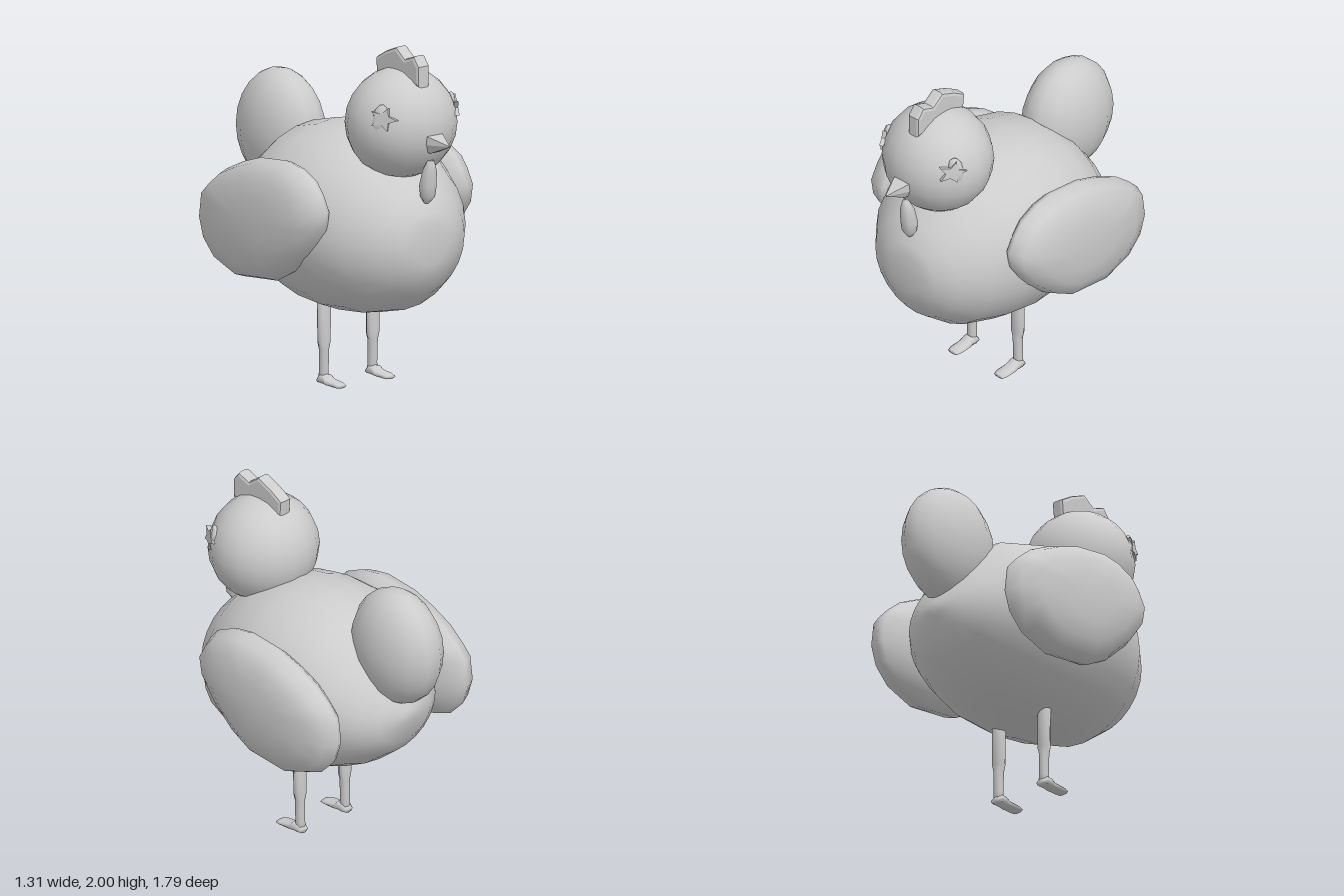
import * as THREE from 'three';

const plumage = new THREE.MeshStandardMaterial({ color: 0xcccccc });
plumage.name = 'pale grey';

const V = (x, y, z) => new THREE.Vector3(x, y, z);

// Closed skin over a list of rings (equal point counts), capped at both ends
function loft(rings) {
  const n = rings[0].length, pts = rings.flat(), idx = [];
  for (let r = 0; r < rings.length - 1; r++) {
    for (let i = 0; i < n; i++) {
      const a = r * n + i, b = r * n + (i + 1) % n;
      idx.push(a, b, a + n, b, b + n, a + n);
    }
  }
  const last = (rings.length - 1) * n;
  const centre = ring => ring.reduce((s, p) => s.add(p), V(0, 0, 0)).divideScalar(n);
  pts.push(centre(rings[0]), centre(rings[rings.length - 1]));
  for (let i = 0; i < n; i++) {
    const j = (i + 1) % n;
    idx.push(j, i, pts.length - 2, last + i, last + j, pts.length - 1);
  }
  // Turn the faces outward if the enclosed volume is negative
  let volume = 0;
  for (let k = 0; k < idx.length; k += 3) {
    volume += pts[idx[k]].dot(pts[idx[k + 1]].clone().cross(pts[idx[k + 2]]));
  }
  if (volume < 0) idx.reverse();
  const geo = new THREE.BufferGeometry().setFromPoints(pts);
  geo.setIndex(idx);
  geo.computeVertexNormals();
  return geo;
}

function ellipse(n, place) {
  return Array.from({ length: n }, (_, i) => {
    const a = (i / n) * Math.PI * 2;
    return place(Math.cos(a), Math.sin(a));
  });
}

function add(parent, name, geo) {
  const mesh = new THREE.Mesh(geo, plumage);
  mesh.name = name;
  parent.add(mesh);
  return mesh;
}

function ellipsoid(parent, name, centre, radii, w, h) {
  const geo = new THREE.SphereGeometry(1, w, h);
  geo.scale(...radii);
  const mesh = add(parent, name, geo);
  mesh.position.set(...centre);
  return mesh;
}

// Flat outline in z,y turned into a slab centred on x = 0
function slab(points, depth, bevel) {
  const shape = new THREE.Shape(points.map(([z, y]) => new THREE.Vector2(-z, y)));
  const geo = new THREE.ExtrudeGeometry(shape, {
    depth, bevelEnabled: true, bevelThickness: bevel, bevelSize: bevel,
    bevelOffset: -bevel, bevelSegments: 2,
  });
  geo.translate(0, 0, -depth / 2);
  geo.rotateY(Math.PI / 2);
  return geo;
}

export function createModel() {
  const bird = new THREE.Group();
  bird.name = 'bird';

  // Body: z, top, bottom, half width
  const body = [
    [0.735, 1.02, 0.79, 0.12], [0.715, 1.09, 0.71, 0.2], [0.65, 1.2, 0.6, 0.31],
    [0.5, 1.34, 0.49, 0.44], [0.3, 1.45, 0.44, 0.53], [0.1, 1.485, 0.42, 0.565],
    [-0.1, 1.483, 0.435, 0.56], [-0.3, 1.43, 0.49, 0.51], [-0.45, 1.32, 0.56, 0.43],
    [-0.58, 1.16, 0.66, 0.31], [-0.65, 1.05, 0.75, 0.2], [-0.69, 0.96, 0.88, 0.06],
  ];
  add(bird, 'body', loft(body.map(([z, top, low, w]) =>
    ellipse(24, (c, s) => V(c * w, (top + low) / 2 + s * (top - low) / 2, z)))));

  ellipsoid(bird, 'head', [0, 1.565, 0.47], [0.322, 0.315, 0.305], 18, 12);
  ellipsoid(bird, 'tail', [0, 1.33, -0.592], [0.205, 0.345, 0.308], 14, 12);

  // Beak: wide flat top narrowing downward, with a pointed tip
  const beakRing = (z, y, w, h) => [V(-w, y + h, z), V(w, y + h, z), V(w, y, z),
    V(w * 0.5, y - h, z), V(-w * 0.5, y - h, z), V(-w, y, z)];
  const beak = loft([beakRing(0.72, 1.492, 0.06, 0.055), beakRing(0.77, 1.493, 0.055, 0.05),
    beakRing(0.895, 1.5, 0.004, 0.004)]).toNonIndexed();
  beak.computeVertexNormals();
  add(bird, 'beak', beak);

  // Comb with three points
  add(bird, 'comb', slab([[0.675, 1.8], [0.675, 1.92], [0.63, 1.975], [0.55, 1.945],
    [0.475, 2.0], [0.375, 1.96], [0.29, 1.91], [0.3, 1.81], [0.48, 1.83]], 0.045, 0.02));

  // Wattle: y, z, half width, half depth
  const wattle = [[1.39, 0.735, 0.02, 0.02], [1.33, 0.722, 0.04, 0.042], [1.24, 0.707, 0.048, 0.05],
    [1.18, 0.705, 0.042, 0.042], [1.14, 0.695, 0.012, 0.02]];
  add(bird, 'wattle', loft(wattle.map(([y, z, w, d]) =>
    ellipse(8, (c, s) => V(c * w, y, z + s * d)))));

  // Wings: one outline swollen outward through scaled sections
  const outline = [[0.43, 1.11], [0.38, 1.2], [0.32, 1.27], [0.2, 1.325], [0.08, 1.345],
    [-0.15, 1.32], [-0.3, 1.27], [-0.45, 1.2], [-0.55, 1.12], [-0.62, 1.05], [-0.64, 0.9],
    [-0.6, 0.78], [-0.5, 0.68], [-0.3, 0.61], [0, 0.64], [0.15, 0.72], [0.3, 0.85], [0.41, 1.0]];
  const sections = [[0.36, 0.6], [0.42, 0.84], [0.47, 0.97], [0.505, 1], [0.58, 0.93],
    [0.63, 0.71], [0.652, 0.4], [0.656, 0.1]];

  // Legs: y, half width, half depth, z
  const leg = [[0.47, 0.045, 0.032, 0.005], [0.24, 0.043, 0.03, 0.004],
    [0.2, 0.029, 0.029, 0.004], [0.07, 0.027, 0.027, 0.002], [0.01, 0.035, 0.026, 0]];
  // Feet: z, half width, height
  const foot = [[-0.028, 0.03, 0.035], [0, 0.042, 0.06], [0.035, 0.043, 0.058],
    [0.06, 0.045, 0.038], [0.13, 0.046, 0.03], [0.16, 0.036, 0.022]];

  for (const side of [1, -1]) {
    const label = side > 0 ? 'left' : 'right';

    add(bird, label + 'Wing', loft(sections.map(([x, k]) =>
      outline.map(([z, y]) => V(side * x, 0.98 + (y - 0.98) * k, -0.1 + (z + 0.1) * k)))));

    const legX = side * 0.175;
    add(bird, label + 'Leg', loft(leg.map(([y, w, d, z]) =>
      ellipse(8, (c, s) => V(legX + c * w, y, z + s * d)))));
    add(bird, label + 'Foot', loft(foot.map(([z, w, h]) =>
      ellipse(8, (c, s) => V(legX + c * w, h / 2 + s * h / 2, z)))));

    // Eye: ragged star in front of a raised lid
    const eye = new THREE.Group();
    eye.name = label + 'Eye';
    eye.position.set(side * 0.245, 1.645, 0.625);
    eye.lookAt(side * 1.245, 1.75, 1.2);
    const lid = ellipsoid(eye, 'eyelid', [side * 0.03, 0, 0], [0.045, 0.085, 0.025], 8, 6);
    lid.rotation.z = side * 0.25;
    const star = new THREE.Shape(ellipse(10, (c, s) => V(c, s, 0)).map((p, i) => {
      const r = i % 2 ? 0.04 : 0.085;
      return new THREE.Vector2(p.x * r, p.y * r * 0.8);
    }));
    add(eye, 'lashes', new THREE.ExtrudeGeometry(star, { depth: 0.025, bevelEnabled: false }));
    bird.add(eye);
  }
  return bird;
}
